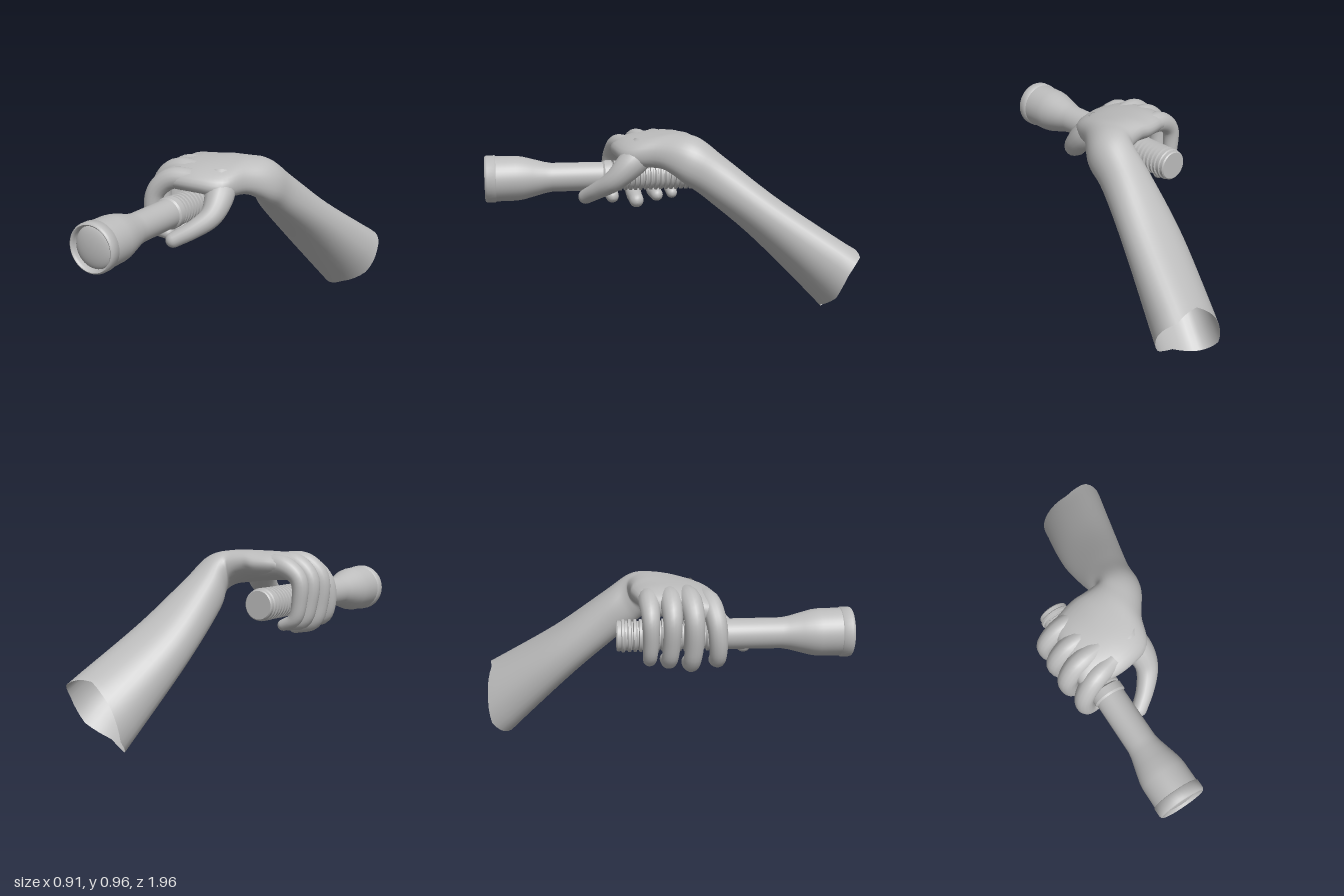
import * as THREE from 'three';
import { toCreasedNormals } from 'three/addons/utils/BufferGeometryUtils.js';

const V = (x, y, z) => new THREE.Vector3(x, y, z);

// Skin a list of rings, each an array of the same number of points
function loft(rings) {
  const n = rings[0].length, index = [];
  for (let i = 0; i < rings.length - 1; i++) {
    for (let j = 0; j < n; j++) {
      const a = i * n + j, b = i * n + (j + 1) % n;
      index.push(a, b, b + n, a, b + n, a + n);
    }
  }
  const g = new THREE.BufferGeometry().setFromPoints(rings.flat());
  g.setIndex(index);
  g.computeVertexNormals();
  return g;
}

// Slightly squared ellipse around c with half axes u and v
function ring(c, u, v, sides, power = 2) {
  return Array.from({ length: sides }, (_, j) => {
    const a = j / sides * Math.PI * 2, e = 2 / power;
    const p = Math.sign(Math.cos(a)) * Math.abs(Math.cos(a)) ** e;
    const q = Math.sign(Math.sin(a)) * Math.abs(Math.sin(a)) ** e;
    return c.clone().addScaledVector(u, p).addScaledVector(v, q);
  });
}

// Round limb through [x, y, z, radius] points, with a domed tip
function limb(pts) {
  const curve = new THREE.CatmullRomCurve3(pts.map(p => V(p[0], p[1], p[2])));
  const radii = new THREE.CatmullRomCurve3(pts.map((p, i) => V(p[3], i, 0)), false, 'catmullrom');
  const steps = 28, sides = 16, rings = [];
  const f = curve.computeFrenetFrames(steps);
  for (let i = 0; i <= steps; i++) {
    const t = curve.getUtoTmapping(i / steps), r = radii.getPoint(t).x;
    const add = (c, s) => rings.push(ring(c, f.normals[i].clone().multiplyScalar(s),
      f.binormals[i].clone().multiplyScalar(s), sides));
    const c = curve.getPoint(t);
    add(c, r);
    if (i === steps) {
      for (let k = 1; k <= 6; k++) {
        const a = k / 6 * Math.PI / 2;
        add(c.clone().addScaledVector(f.tangents[i], r * Math.sin(a)), Math.max(r * Math.cos(a), 0.0005));
      }
    }
  }
  return loft(rings);
}

// Forearm, bent wrist and palm as one skin, torn open at the elbow end
function armGeometry() {
  const sections = [ // centre, half width, half thickness
    [V(0.265, 0.15, -0.90), V(0.185, 0.08, 0.02), V(0, 0.15, -0.085)],
    [V(0.15, 0.47, -0.52), V(0.165, 0.04, 0.02), V(0, 0.10, -0.075)],
    [V(0.095, 0.70, -0.24), V(0.125, 0.01, 0.02), V(0, 0.10, -0.065)],
    [V(0.085, 0.80, -0.11), V(0.10, 0, 0.06), V(0, 0.115, -0.04)],
    [V(0.03, 0.845, -0.03), V(0.06, -0.01, 0.13), V(0, 0.095, -0.01)],
    [V(-0.04, 0.852, 0.05), V(0.065, -0.03, 0.20), V(0, 0.085, 0)],
    [V(-0.15, 0.857, 0.075), V(0.02, -0.02, 0.225), V(0, 0.08, 0)],
    [V(-0.27, 0.855, 0.085), V(-0.01, -0.02, 0.21), V(0, 0.073, 0)],
    [V(-0.345, 0.84, 0.09), V(-0.02, -0.02, 0.18), V(0, 0.055, 0)],
    [V(-0.375, 0.83, 0.09), V(0, 0, 0.02), V(0, 0.005, 0)],
  ];
  const [c, u, v] = [0, 1, 2].map(k =>
    new THREE.CatmullRomCurve3(sections.map(s => s[k]), false, 'catmullrom'));
  const rings = [], steps = 54, sides = 32;
  for (let i = 0; i <= steps; i++) {
    const t = i / steps;
    rings.push(ring(c.getPoint(t), u.getPoint(t), v.getPoint(t), sides, 2.2));
  }
  // Jagged edge: shift the first ring along the arm
  const along = V(0.16, -0.6, -0.78);
  const jag = [0.0, 0.01, -0.06, -0.03, 0.02, 0.0, -0.03, 0.01];
  rings[0].forEach((p, j) => {
    const k = j / sides * jag.length, i = Math.floor(k);
    p.addScaledVector(along, THREE.MathUtils.lerp(jag[i], jag[(i + 1) % jag.length], k - i));
  });
  return loft(rings);
}

// Turned part on the torch axis, from [radius, z] points
function turned(profile, crease = 0.6) {
  const g = new THREE.LatheGeometry(profile.map(p => new THREE.Vector2(p[0], p[1])), 40);
  g.rotateX(Math.PI / 2);
  return toCreasedNormals(g, crease);
}

export function createModel() {
  const model = new THREE.Group();
  const grey = new THREE.MeshStandardMaterial({ color: 0xbcbcbc, side: THREE.DoubleSide });
  grey.name = 'plain grey';
  const add = (name, geometry, parent) => {
    const m = new THREE.Mesh(geometry, grey);
    m.name = name;
    parent.add(m);
    return m;
  };

  // Torch
  const torch = new THREE.Group();
  torch.name = 'torch';
  torch.position.set(-0.257, 0.675, 0);
  model.add(torch);

  add('tailCap', turned([[0, -0.23], [0.074, -0.23], [0.08, -0.224], [0.08, -0.205], [0.086, -0.2],
    [0.086, -0.188], [0.078, -0.184], [0.078, -0.172], [0.086, -0.168], [0.086, -0.155], [0.074, -0.15]]), torch);

  const grip = [];
  for (let z = -0.15; z < 0.285; z += 0.029) {
    grip.push([0.075, z], [0.075, z + 0.007], [0.085, z + 0.011], [0.085, z + 0.024], [0.075, z + 0.028]);
  }
  add('ribbedGrip', turned(grip), torch);
  add('collar', turned([[0.075, 0.285], [0.088, 0.295], [0.088, 0.335], [0.08, 0.345]]), torch);
  add('barrelAndHead', turned([[0.08, 0.34], [0.081, 0.63], [0.088, 0.67], [0.107, 0.74], [0.12, 0.79],
    [0.125, 0.83], [0.126, 0.94]]), torch);
  add('headRim', turned([[0.124, 0.937], [0.131, 0.943], [0.131, 0.985], [0.127, 0.996], [0.121, 1.0],
    [0.115, 0.996], [0.111, 0.985], [0.111, 0.96]], 0.9), torch);

  // Domed lens
  const lens = new THREE.SphereGeometry(0.111, 40, 12, 0, Math.PI * 2, 0, Math.PI / 2);
  lens.scale(1, 0.3, 1);
  lens.rotateX(Math.PI / 2);
  add('lens', lens, torch).position.z = 0.962;

  // Arm and hand
  add('forearmAndPalm', armGeometry(), model);
  const hand = new THREE.Group();
  hand.name = 'fingers';
  model.add(hand);

  add('indexFinger', limb([[-0.17, 0.85, 0.22, 0.06], [-0.29, 0.845, 0.255, 0.058], [-0.37, 0.77, 0.28, 0.052],
    [-0.385, 0.66, 0.29, 0.048], [-0.36, 0.575, 0.29, 0.043], [-0.295, 0.55, 0.285, 0.037]]), hand);
  add('middleFinger', limb([[-0.17, 0.865, 0.13, 0.062], [-0.32, 0.87, 0.15, 0.06], [-0.398, 0.80, 0.165, 0.053],
    [-0.40, 0.66, 0.165, 0.049], [-0.37, 0.56, 0.155, 0.045], [-0.265, 0.528, 0.15, 0.041]]), hand);
  add('ringFinger', limb([[-0.17, 0.87, 0.04, 0.06], [-0.32, 0.87, 0.05, 0.058], [-0.40, 0.80, 0.055, 0.05],
    [-0.40, 0.67, 0.05, 0.046], [-0.37, 0.575, 0.04, 0.042], [-0.285, 0.553, 0.03, 0.036]]), hand);
  add('littleFinger', limb([[-0.17, 0.865, -0.06, 0.06], [-0.31, 0.865, -0.06, 0.055], [-0.395, 0.80, -0.055, 0.046],
    [-0.40, 0.68, -0.055, 0.041], [-0.375, 0.59, -0.06, 0.037], [-0.31, 0.558, -0.062, 0.031]]), hand);
  add('thumb', limb([[-0.05, 0.85, 0.13, 0.085], [-0.01, 0.77, 0.22, 0.078], [-0.01, 0.69, 0.305, 0.06],
    [-0.07, 0.63, 0.385, 0.048], [-0.15, 0.58, 0.45, 0.041]]), hand);

  return model;
}
